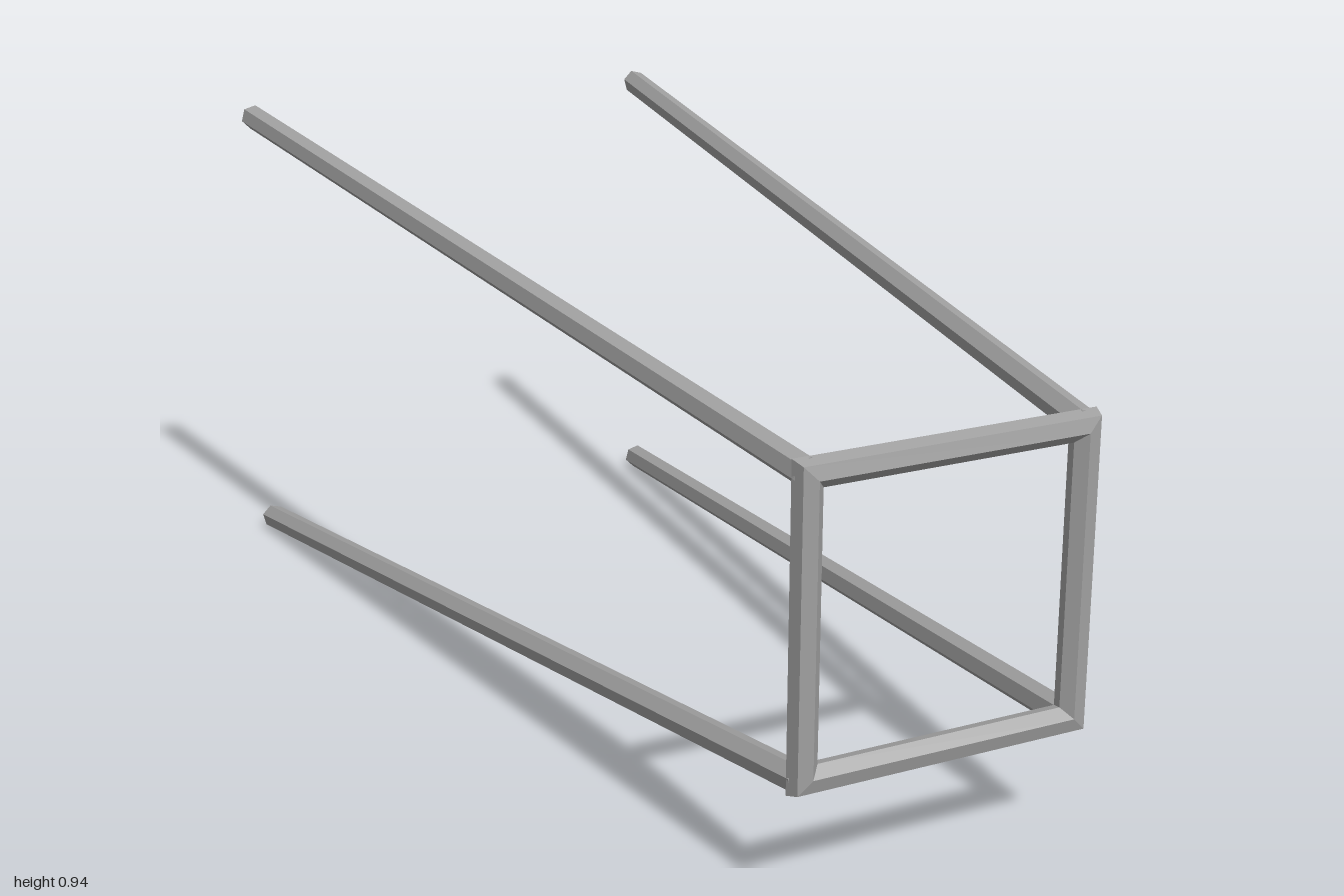
import * as THREE from 'three';

const R = 0.025;          // bar radius (six-sided)
const HALF = 0.25;        // half side of the square frame
const FRONT_Z = 0.976;    // centre plane of the frame
const BACK_Z = -1;        // leg ends
const SPREAD = 0.444;     // leg end offset in x and y
const MID_Y = 0.468;

export function createModel() {
  const group = new THREE.Group();
  const grey = new THREE.MeshStandardMaterial({ color: 0xa0a0a0, flatShading: true });
  grey.name = 'grey metal';

  // Mitred square frame: hexagon profile turned in four segments
  const profile = [];
  for (let i = 0; i <= 6; i++) {
    const a = THREE.MathUtils.degToRad(-14 + 60 * i);
    profile.push(new THREE.Vector2((HALF + R * Math.cos(a)) * Math.SQRT2, R * Math.sin(a)));
  }
  const frameGeo = new THREE.LatheGeometry(profile, 4, Math.PI / 4).rotateX(Math.PI / 2);
  const frame = new THREE.Mesh(frameGeo, grey);
  frame.name = 'squareFrame';
  frame.position.set(0, MID_Y, FRONT_Z);
  group.add(frame);

  // Four legs splaying outward to the back, with upright cut ends
  const length = FRONT_Z - BACK_Z;
  const slope = (HALF - SPREAD) * Math.SQRT2 / length;
  const splay = new THREE.Matrix4().set(
    1, 0, slope, (HALF + SPREAD) / 2 * Math.SQRT2,
    0, 1, 0, 0,
    0, 0, 1, (FRONT_Z + BACK_Z) / 2,
    0, 0, 0, 1);
  const names = ['upperLeftLeg', 'upperRightLeg', 'lowerRightLeg', 'lowerLeftLeg'];
  names.forEach((name, i) => {
    const geo = new THREE.CylinderGeometry(R, R, length, 6, 1, false, Math.PI / 2)
      .rotateX(Math.PI / 2)
      .applyMatrix4(splay)
      .rotateZ(Math.PI / 4 + i * Math.PI / 2);
    const leg = new THREE.Mesh(geo, grey);
    leg.name = name;
    leg.position.y = MID_Y;
    group.add(leg);
  });

  return group;
}
